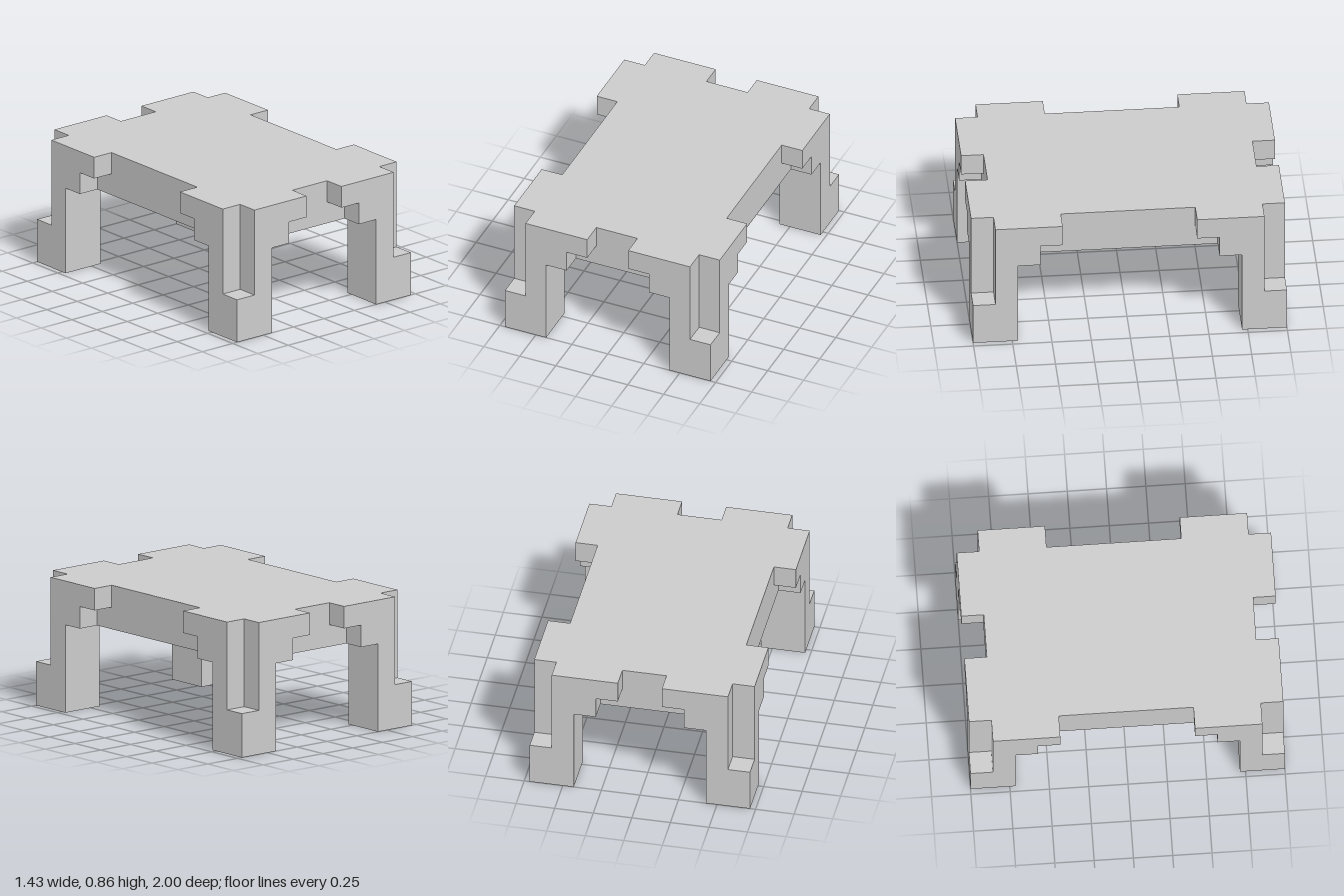
import * as THREE from 'three';

const U = 1 / 7; // one block
const material = new THREE.MeshStandardMaterial({ color: 0xcccccc, flatShading: true });

// Upright prism from an [x, z] outline in blocks, between two heights
function prism(name, outline, bottom, top) {
  const shape = new THREE.Shape(outline.map(([x, z]) => new THREE.Vector2(x * U, z * U)));
  const geometry = new THREE.ExtrudeGeometry(shape, { depth: (top - bottom) * U, bevelEnabled: false });
  geometry.rotateX(Math.PI / 2).translate(0, top * U, 0);
  const mesh = new THREE.Mesh(geometry, material);
  mesh.name = name;
  return mesh;
}

// Deck outline: notched corners, with gaps of half width endGap and sideGap between the brackets
function deckOutline(endGap, sideGap) {
  const q = [[4, sideGap], [5, sideGap], [5, 6], [4, 6], [4, 7], [endGap, 7], [endGap, 6]];
  const half = [...q, ...q.map(([x, z]) => [-x, z]).reverse()];
  return [...half, ...half.map(([x, z]) => [x, -z]).reverse()];
}

export function createModel() {
  const group = new THREE.Group();
  group.name = 'table';

  // Two deck layers; the lower one has shorter stepped brackets
  group.add(prism('deckTop', deckOutline(1, 3), 5, 6));
  group.add(prism('deckUnderside', deckOutline(2, 4), 4, 5));

  // Legs: square foot, with an L-shaped shaft notched on its outer corner
  const foot = [[3, 5], [5, 5], [5, 7], [3, 7]];
  const shaft = [[3, 5], [5, 5], [5, 6], [4, 6], [4, 7], [3, 7]];
  for (const [zName, sz] of [['front', 1], ['back', -1]]) {
    for (const [xName, sx] of [['Left', 1], ['Right', -1]]) {
      const place = (outline) => outline.map(([x, z]) => [x * sx, z * sz]);
      const leg = new THREE.Group();
      leg.name = `${zName}${xName}Leg`;
      leg.add(prism('foot', place(foot), 0, 2), prism('shaft', place(shaft), 2, 4));
      group.add(leg);
    }
  }
  return group;
}
